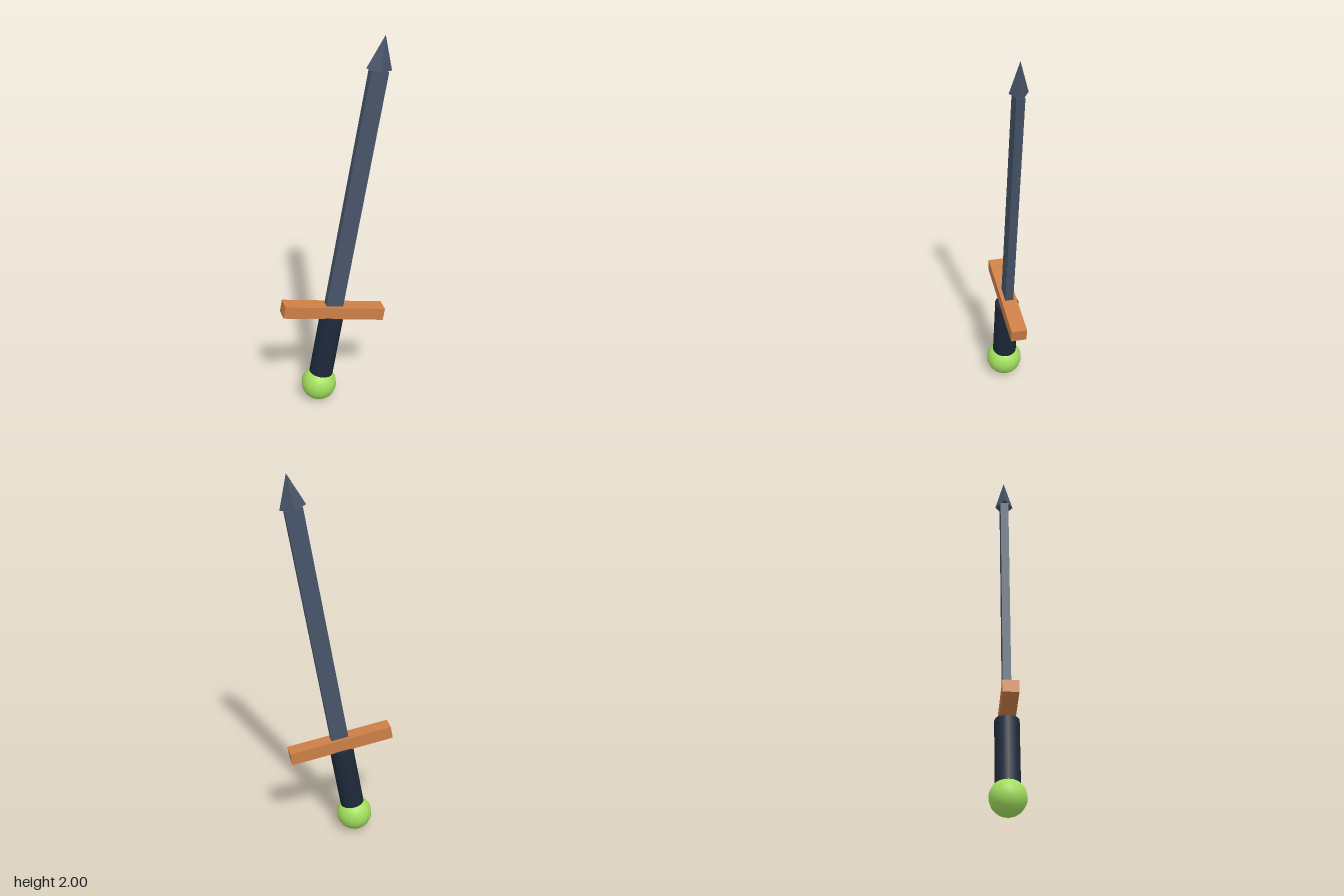
import * as THREE from 'three';

function part(name, geometry, color, y, flatShading = false) {
  const mesh = new THREE.Mesh(geometry, new THREE.MeshStandardMaterial({ color, flatShading }));
  mesh.name = name;
  mesh.position.y = y;
  return mesh;
}

export function createModel() {
  const STEEL = 0x475569, DARK = 0x1e293b, BRONZE = 0xcd7f47, LIME = 0xa3e05f;

  // The sword is built upright around the guard centre, then leaned to its left
  const sword = new THREE.Group();
  sword.name = 'sword';
  sword.position.set(-0.016, 0.53, 0);
  sword.rotation.z = -THREE.MathUtils.degToRad(10);

  sword.add(part('guard', new THREE.BoxGeometry(0.54, 0.066, 0.08), BRONZE, 0));

  // Blade runs from the guard up to the point
  sword.add(part('blade', new THREE.BoxGeometry(0.09, 1.29, 0.042), STEEL, 0.67));

  // Four-sided point, flattened front to back
  const point = new THREE.ConeGeometry(0.0655, 0.172, 4);
  point.scale(1, 1, 0.71);
  sword.add(part('bladePoint', point, STEEL, 1.405, true));

  // Grip reaches slightly into the pommel
  sword.add(part('grip', new THREE.CylinderGeometry(0.062, 0.062, 0.355, 16), DARK, -0.2075));
  sword.add(part('pommel', new THREE.SphereGeometry(0.092, 16, 16), LIME, -0.445));

  const model = new THREE.Group();
  model.name = 'model';
  model.add(sword);
  return model;
}
